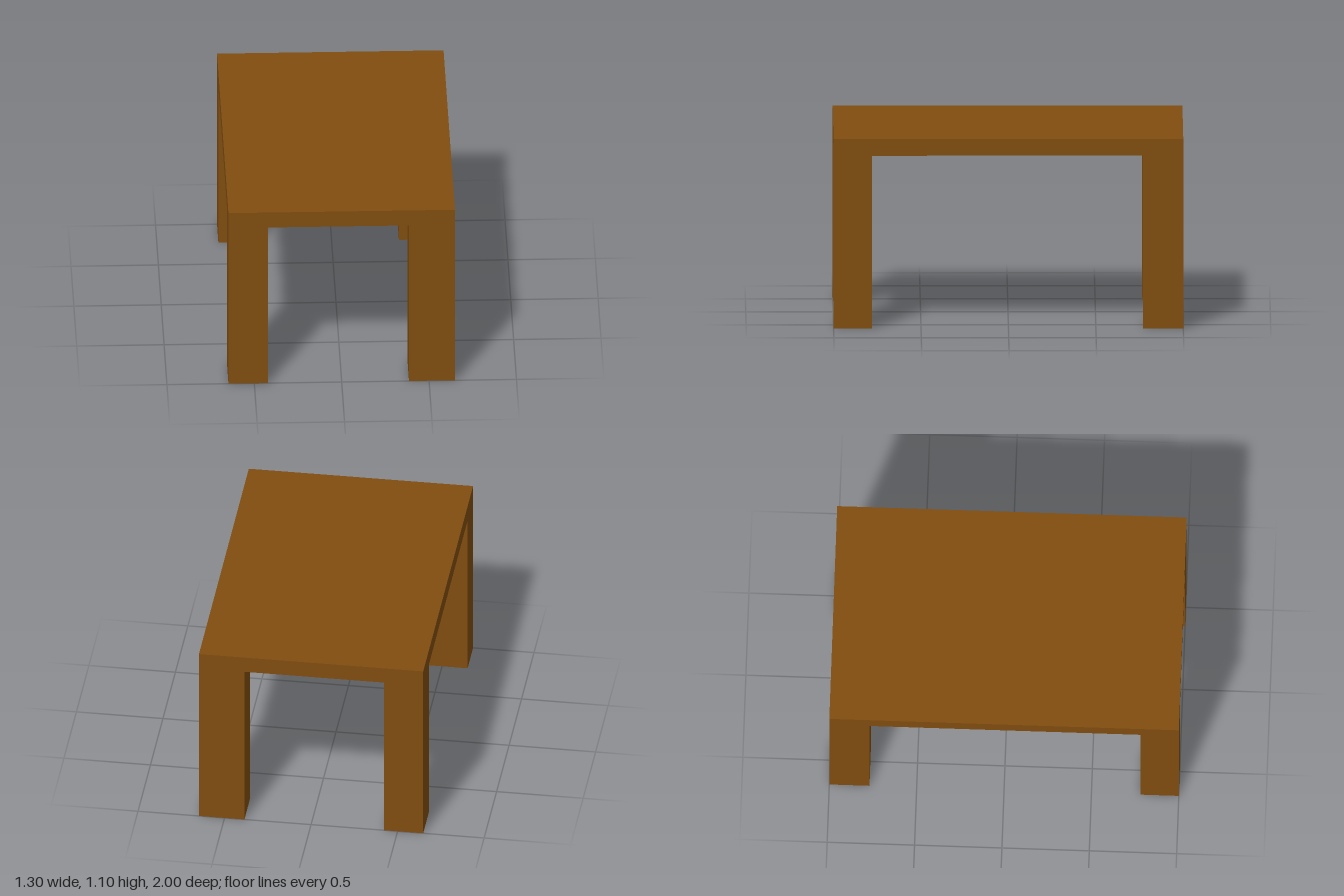
import * as THREE from 'three';

export function createModel() {
  const model = new THREE.Group();
  model.name = 'table';
  const wood = new THREE.MeshStandardMaterial({ color: 0x804d0f, flatShading: true });

  // Adds a box spanning the given [min, max] ranges
  function addBox(name, [x0, x1], [y0, y1], [z0, z1]) {
    const mesh = new THREE.Mesh(new THREE.BoxGeometry(x1 - x0, y1 - y0, z1 - z0), wood);
    mesh.position.set((x0 + x1) / 2, (y0 + y1) / 2, (z0 + z1) / 2);
    mesh.name = name;
    model.add(mesh);
  }

  const halfWidth = 0.648, halfLength = 1, underside = 1, top = 1.096;

  // Table top
  addBox('tableTop', [-halfWidth, halfWidth], [underside, top], [-halfLength, halfLength]);

  // Corner legs: the left pair is slightly wider, the back pair slightly deeper
  const sides = { Left: [0.385, halfWidth], Right: [-halfWidth, -0.422] };
  const ends = { front: [0.78, halfLength], back: [-halfLength, -0.77] };
  for (const [end, zRange] of Object.entries(ends)) {
    for (const [side, xRange] of Object.entries(sides)) {
      addBox(`${end}${side}Leg`, xRange, [0, underside], zRange);
    }
  }

  return model;
}
